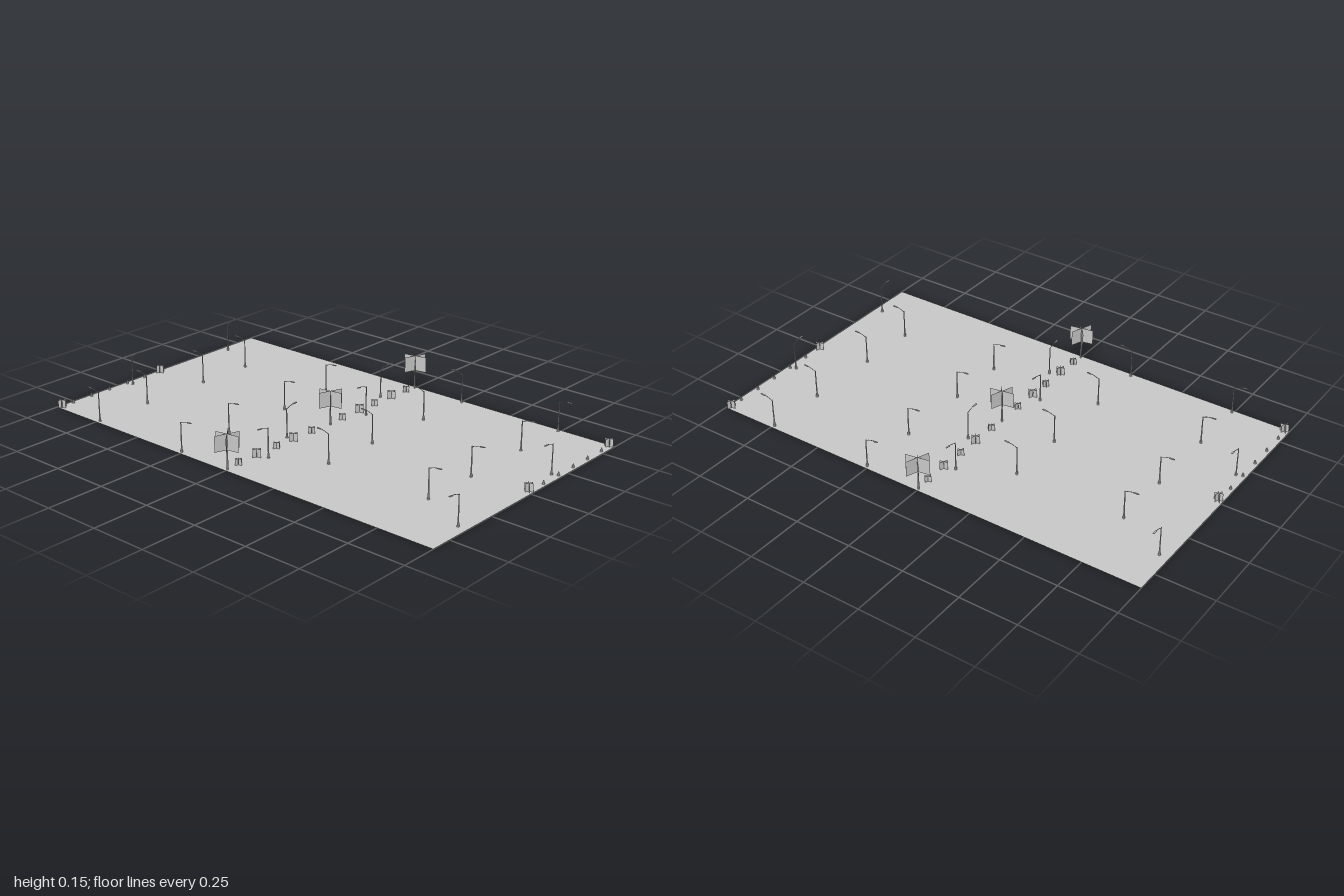
import * as THREE from 'three';

const grey = new THREE.MeshStandardMaterial({ color: 0xcccccc, flatShading: true });
const greyThin = new THREE.MeshStandardMaterial({ color: 0xcccccc, flatShading: true, side: THREE.DoubleSide });

function add(parent, name, geometry, material = grey) {
  const mesh = new THREE.Mesh(geometry, material);
  mesh.name = name;
  parent.add(mesh);
  return mesh;
}

function place(parent, name, x, z, turn = 0) {
  const group = new THREE.Group();
  group.name = name;
  group.position.set(x, 0, z);
  group.rotation.y = turn;
  parent.add(group);
  return group;
}

// Three upright foliage cards crossing on one axis
function crossedCards(parent, name, radius, y0, y1) {
  for (let i = 0; i < 3; i++) {
    const card = add(parent, name, new THREE.PlaneGeometry(radius * 2, y1 - y0), greyThin);
    card.position.y = (y0 + y1) / 2;
    card.rotation.y = Math.PI / 18 + i * Math.PI / 3;
  }
}

function tree(parent, x, z) {
  const g = place(parent, 'tree', x, z);
  add(g, 'trunk', new THREE.CylinderGeometry(0.002, 0.004, 0.13, 6)).position.y = 0.065;
  crossedCards(g, 'foliage', 0.053, 0.082, 0.15);
}

function shrub(parent, x, z, radius, height) {
  crossedCards(place(parent, 'shrub', x, z), 'shrubLeaves', radius, 0, height);
}

// Street lamp with its arm along local +x
const armCurve = new THREE.QuadraticBezierCurve3(
  new THREE.Vector3(0, 0.124, 0), new THREE.Vector3(0.014, 0.134, 0), new THREE.Vector3(0.042, 0.137, 0));

function lamp(parent, x, z, turn) {
  const g = place(parent, 'streetLamp', x, z, turn);
  add(g, 'lampBase', new THREE.CylinderGeometry(0.003, 0.0055, 0.022, 8)).position.y = 0.011;
  add(g, 'lampPole', new THREE.CylinderGeometry(0.002, 0.003, 0.128, 6)).position.y = 0.064;
  add(g, 'lampArm', new THREE.TubeGeometry(armCurve, 6, 0.0014, 5));
  const head = add(g, 'lampHead', new THREE.BoxGeometry(0.02, 0.003, 0.006));
  head.position.set(0.048, 0.1365, 0);
  head.rotation.z = 0.08;
}

export function createModel() {
  const model = new THREE.Group();
  model.name = 'streetBlock';

  // Ground sheet
  const ground = add(model, 'ground', new THREE.PlaneGeometry(2, 1.185), greyThin);
  ground.rotation.x = -Math.PI / 2;
  ground.position.y = 0.0005;

  // Trees along the middle strip
  for (const z of [0.58, -0.02, -0.58]) tree(model, 0, z);

  // Both halves repeat under a half turn: s flips x and z together
  for (const s of [1, -1]) {
    const half = place(model, s > 0 ? 'leftwardHalf' : 'rightwardHalf', 0, 0, s > 0 ? 0 : Math.PI);

    // Lamps whose arms run across the block
    for (const z of [-0.285, -0.02, 0.312, 0.577]) {
      lamp(half, -0.742, z, Math.PI);
      lamp(half, -0.256, z, 0);
    }

    // Lamps whose arms run along the streets
    for (const x of [-0.96, -0.042]) {
      lamp(half, x, -0.396, Math.PI / 2);
      lamp(half, x, 0.198, Math.PI / 2);
    }

    // Middle strip shrubs, small and large in turn
    for (const z of [0.095, 0.305, 0.52]) shrub(half, 0, z, 0.015, 0.027);
    for (const z of [0.205, 0.418]) shrub(half, 0, z, 0.019, 0.035);

    // Edge strip: shrubs at its ends, short bollards between
    for (const z of [0.016, 0.578]) shrub(half, -0.98, z, 0.018, 0.035);
    for (let i = 0; i < 5; i++) {
      const bollard = add(half, 'bollard', new THREE.CylinderGeometry(0.002, 0.006, 0.016, 8));
      bollard.position.set(-0.985, 0.008, 0.106 + i * 0.102);
    }
  }
  return model;
}
